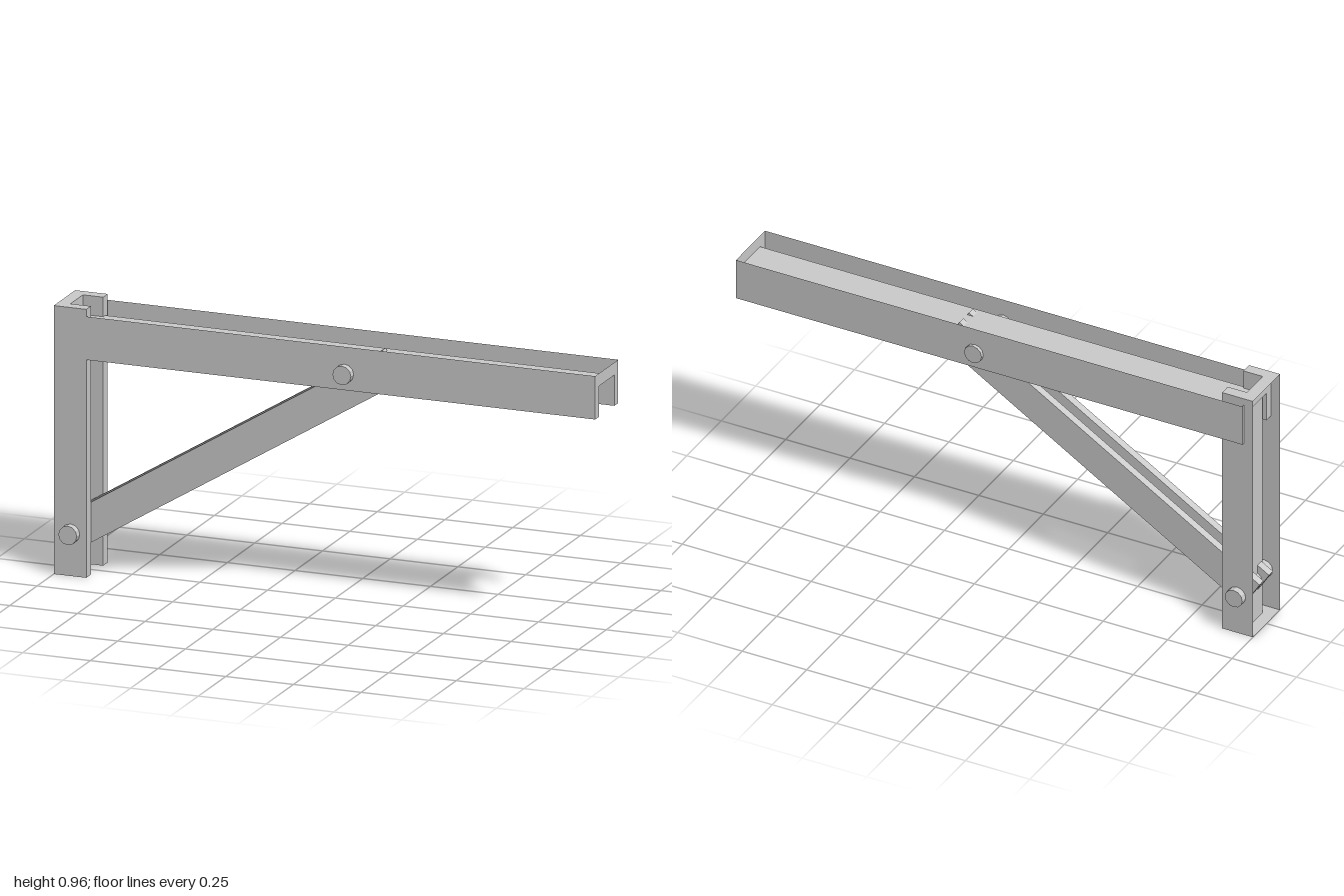
import * as THREE from 'three';

const material = new THREE.MeshStandardMaterial({ color: 0xcccccc, flatShading: true, side: THREE.DoubleSide });

// U-channel shell with an open back: u runs across, v from leg tips to back, t along the length
function channel(name, [o0, o1], [i0, i1], [tip, web, back], [t0, t1], place) {
  const profile = [[o0, back], [o0, tip], [i0, tip], [i0, web], [i1, web], [i1, tip], [o1, tip], [o1, back]];
  const positions = [];
  const quad = (a, b, c, d) => {
    for (const p of [a, b, c, a, c, d]) positions.push(...place(...p));
  };
  // long walls
  for (let i = 0; i < profile.length - 1; i++) {
    const a = profile[i], b = profile[i + 1];
    quad([...a, t0], [...b, t0], [...b, t1], [...a, t1]);
  }
  // U-shaped end caps: two legs and the web
  const capRects = [[o0, i0, tip, back], [i1, o1, tip, back], [i0, i1, web, back]];
  for (const t of [t0, t1]) {
    for (const [u0, u1, v0, v1] of capRects) {
      quad([u0, v0, t], [u1, v0, t], [u1, v1, t], [u0, v1, t]);
    }
  }
  const geometry = new THREE.BufferGeometry();
  geometry.setAttribute('position', new THREE.Float32BufferAttribute(positions, 3));
  geometry.computeVertexNormals();
  const mesh = new THREE.Mesh(geometry, material);
  mesh.name = name;
  return mesh;
}

export function createModel() {
  const group = new THREE.Group();
  group.name = 'foldingBracket';

  // upright post and horizontal arm
  group.add(channel('post', [-0.098, 0.098], [-0.057, 0.057], [-0.88, -0.955, -1], [0, 0.96],
    (u, v, t) => [v, t, u]));
  group.add(channel('arm', [-0.11, 0.1], [-0.075, 0.065], [0.78, 0.89, 0.935], [-0.965, 1],
    (u, v, t) => [t, v, u]));

  // pair of diagonal brace bars
  const start = new THREE.Vector2(-0.935, 0.08), end = new THREE.Vector2(0.23, 0.795);
  const along = end.clone().sub(start);
  const length = along.length(), angle = along.angle(), width = 0.123;
  for (const side of [-1, 1]) {
    const geometry = new THREE.BoxGeometry(length, width, 0.029);
    geometry.translate(length / 2, width / 2, 0);
    const brace = new THREE.Mesh(geometry, material);
    brace.name = side > 0 ? 'braceFront' : 'braceBack';
    brace.rotation.z = angle;
    brace.position.set(start.x, start.y, side * 0.0345);
    group.add(brace);
  }

  // pivot bolts through the post and the arm
  for (const [name, x, y] of [['lowerBolt', -0.938, 0.152], ['upperBolt', 0.074, 0.839]]) {
    const geometry = new THREE.CylinderGeometry(0.034, 0.034, 0.248, 12);
    geometry.rotateX(Math.PI / 2);
    const bolt = new THREE.Mesh(geometry, material);
    bolt.name = name;
    bolt.position.set(x, y, 0.001);
    group.add(bolt);
  }
  return group;
}
